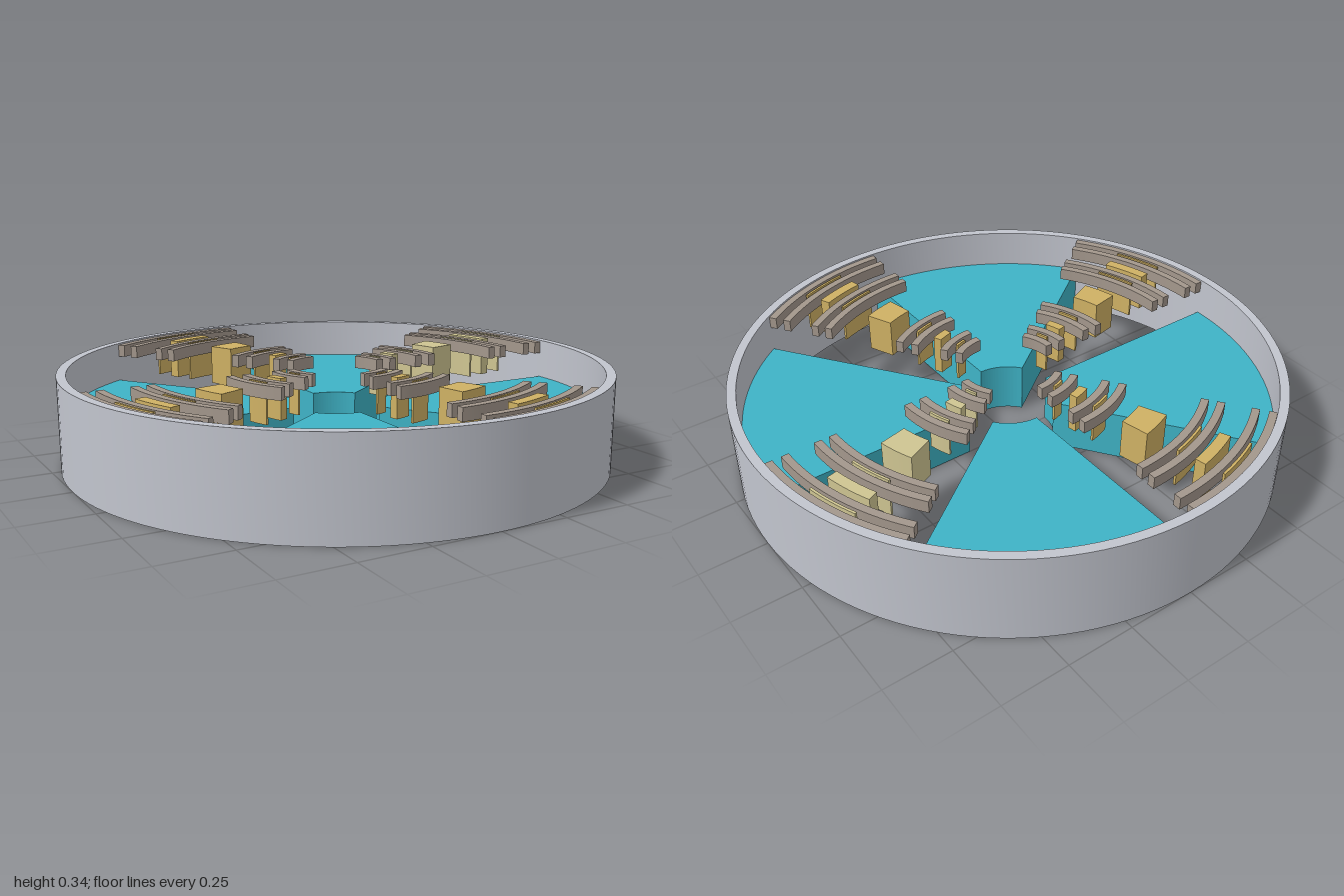
import * as THREE from 'three';
import { toCreasedNormals } from 'three/addons/utils/BufferGeometryUtils.js';

const RIM_HEIGHT = 0.34;
const INNER = 0.175;
const OUTER = 0.966;
const rad = THREE.MathUtils.degToRad;

// Extrude a flat plan (x, z) between two heights, keeping the arcs smooth
function prism(shape, bottom, top, curveSegments) {
  const geo = new THREE.ExtrudeGeometry(shape, { depth: top - bottom, bevelEnabled: false, curveSegments });
  geo.rotateX(Math.PI / 2);
  geo.translate(0, top, 0);
  return toCreasedNormals(geo, 0.5);
}

// Solid arc between two radii and two angles (degrees from +x towards +z)
function arcBlock(r0, r1, a0, a1, bottom, top, segments = 12) {
  const shape = new THREE.Shape();
  shape.absarc(0, 0, r1, rad(a0), rad(a1), false);
  shape.absarc(0, 0, r0, rad(a1), rad(a0), true);
  shape.closePath();
  return prism(shape, bottom, top, segments);
}

export function createModel() {
  const material = (name, color) => {
    const m = new THREE.MeshStandardMaterial({ color });
    m.name = name;
    return m;
  };
  const silver = material('silver', 0xc2c5ce);
  const teal = material('teal', 0x3fb3c6);
  const taupe = material('taupe', 0xa3978c);
  const gold = material('gold', 0xcfb164);
  const paleGold = material('pale gold', 0xcfc592);

  const model = new THREE.Group();
  model.name = 'segmentedRing';
  const add = (parent, name, geo, mat) => {
    const mesh = new THREE.Mesh(geo, mat);
    mesh.name = name;
    parent.add(mesh);
  };

  // Outer rim
  const rim = new THREE.Shape();
  rim.absarc(0, 0, 1, 0, Math.PI * 2, false);
  const hole = new THREE.Path();
  hole.absarc(0, 0, OUTER, 0, Math.PI * 2, true);
  rim.holes.push(hole);
  add(model, 'rim', prism(rim, 0, RIM_HEIGHT, 64), silver);

  // Middle radius of each curved bar
  const barRadii = [0.189, 0.248, 0.364, 0.425, 0.717, 0.773, 0.892, 0.951];
  // Middle radius and radial thickness of each upright block
  const blocks = [
    [0.219, 0.009], [0.305, 0.032], [0.395, 0.009], [0.57, 0.104],
    [0.745, 0.009], [0.832, 0.04], [0.921, 0.009],
  ];

  for (let i = 0; i < 4; i++) {
    const start = i * 90;

    // Solid wedge
    add(model, 'wedge', arcBlock(INNER, OUTER, start, start + 54, 0, 0.19, 24), teal);

    // Curved bars and upright blocks in the gap after the wedge
    const bay = new THREE.Group();
    bay.name = 'bay';
    for (const r of barRadii) {
      add(bay, 'curvedBar', arcBlock(r - 0.014, r + 0.014, start + 54, start + 90, 0.288, 0.334), taupe);
    }
    for (const [r, t] of blocks) {
      const geo = arcBlock(r - t / 2, r + t / 2, start + 66, start + 78, 0.185, 0.334, 4);
      add(bay, 'uprightBlock', geo, i === 3 ? paleGold : gold);
    }
    model.add(bay);
  }
  return model;
}
